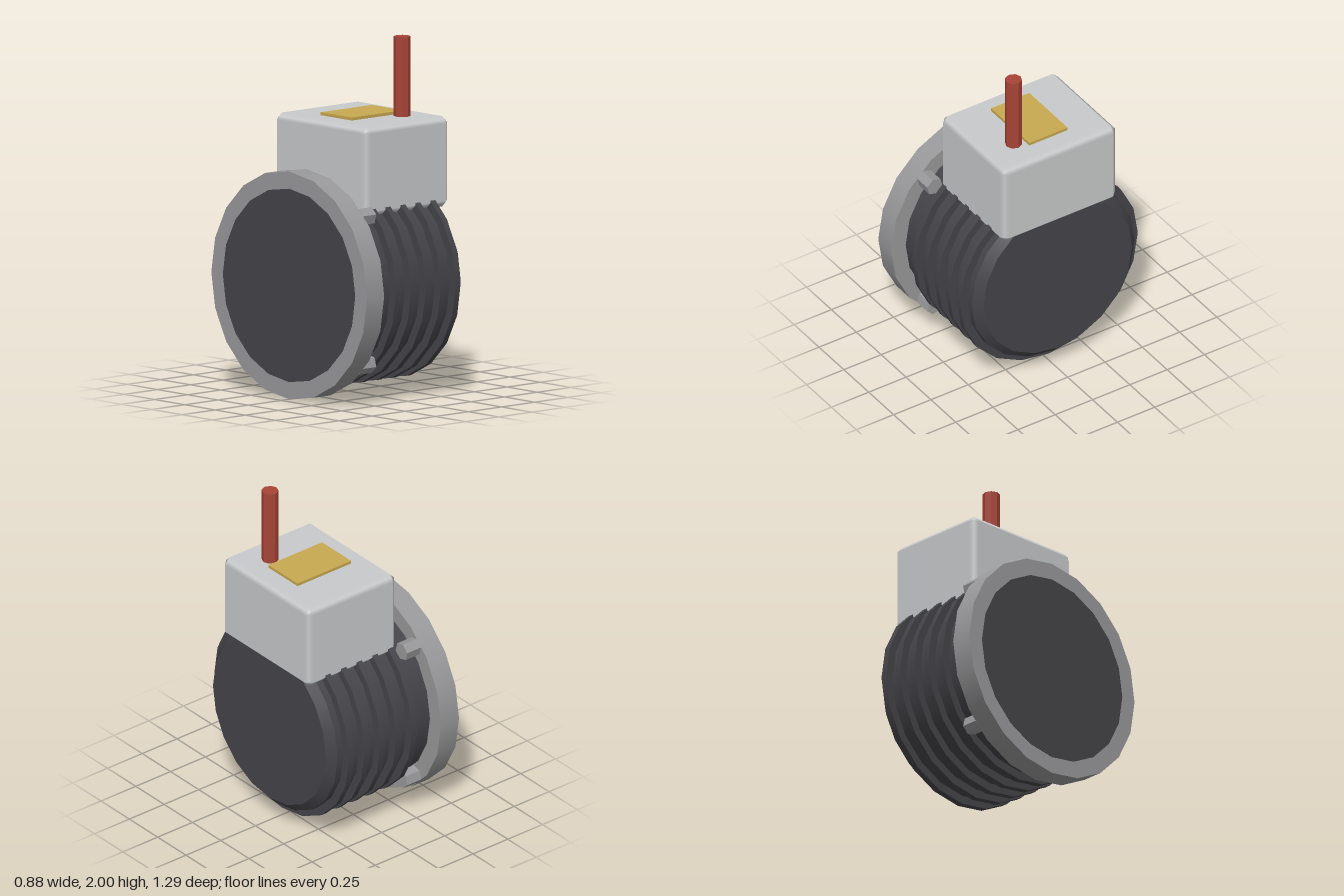
import * as THREE from 'three';
import { RoundedBoxGeometry } from 'three/addons/geometries/RoundedBoxGeometry.js';

const AXIS_Y = 0.643; // height of the motor axis

function material(name, color) {
  const m = new THREE.MeshStandardMaterial({ color });
  m.name = name;
  return m;
}

function faceted(geometry) {
  const g = geometry.toNonIndexed();
  g.computeVertexNormals();
  return g;
}

// Cylinder lying along x between two stations
function discX(x0, x1, r0, r1 = r0, sides = 20) {
  return new THREE.CylinderGeometry(r1, r0, x1 - x0, sides)
    .rotateZ(-Math.PI / 2)
    .translate((x0 + x1) / 2, 0, 0);
}

// Box with chamfered edges and soft edge normals
function chamferedBox(w, h, d, c) {
  const g = new RoundedBoxGeometry(w, h, d, 1, c);
  const p = g.attributes.position;
  const half = new THREE.Vector3(w / 2 - c, h / 2 - c, d / 2 - c);
  const v = new THREE.Vector3(), core = new THREE.Vector3();
  for (let i = 0; i < p.count; i++) {
    v.fromBufferAttribute(p, i);
    core.copy(v).clamp(half.clone().negate(), half);
    v.sub(core);
    v.multiplyScalar(c / (Math.abs(v.x) + Math.abs(v.y) + Math.abs(v.z) || 1)).add(core);
    p.setXYZ(i, v.x, v.y, v.z);
  }
  return g;
}

export function createModel() {
  const model = new THREE.Group();
  model.name = 'motor';
  const dark = material('darkHousing', 0x454449);
  const steel = material('steel', 0x99999b);
  const pale = material('paleCasing', 0xc8cacb);
  const gold = material('goldPlate', 0xc9aa50);
  const red = material('redCable', 0xa84437);

  const add = (parent, name, geometry, mat) => {
    const mesh = new THREE.Mesh(geometry, mat);
    mesh.name = name;
    parent.add(mesh);
    return mesh;
  };

  // Everything round shares the horizontal axis
  const drum = new THREE.Group();
  drum.name = 'drum';
  drum.position.y = AXIS_Y;
  model.add(drum);

  add(drum, 'housing', discX(-0.442, 0.354, 0.546), dark);
  add(drum, 'endBevel', discX(0.354, 0.4, 0.546, 0.498), dark);
  add(drum, 'flange', discX(-0.44, -0.31, 0.643), steel);

  // Cooling fins
  for (let i = 0; i < 5; i++) {
    const x = -0.158 + i * 0.1128;
    add(drum, 'coolingFin', discX(x - 0.0185, x + 0.0185, 0.595), dark);
  }

  // Hex bolts, one flat facing outward
  for (let i = 0; i < 4; i++) {
    const bolt = add(drum, 'flangeBolt', faceted(discX(-0.31, -0.21, 0.053, 0.053, 6)), steel);
    const a = Math.PI / 4 + i * Math.PI / 2;
    bolt.position.set(0, 0.59 * Math.sin(a), 0.59 * Math.cos(a));
    bolt.rotation.x = -a + Math.PI / 6;
  }

  // Terminal box with plate and cable
  const box = add(model, 'terminalBox', chamferedBox(0.645, 0.51, 0.77, 0.036), pale);
  box.position.set(0.111, 1.295, 0);
  const plate = add(model, 'ratingPlate', new THREE.BoxGeometry(0.386, 0.022, 0.257), gold);
  plate.position.set(0.111, 1.556, -0.002);
  const cable = add(model, 'cable', faceted(new THREE.CylinderGeometry(0.048, 0.048, 0.46, 8)), red);
  cable.position.set(0.24, 1.77, 0.19);

  return model;
}
